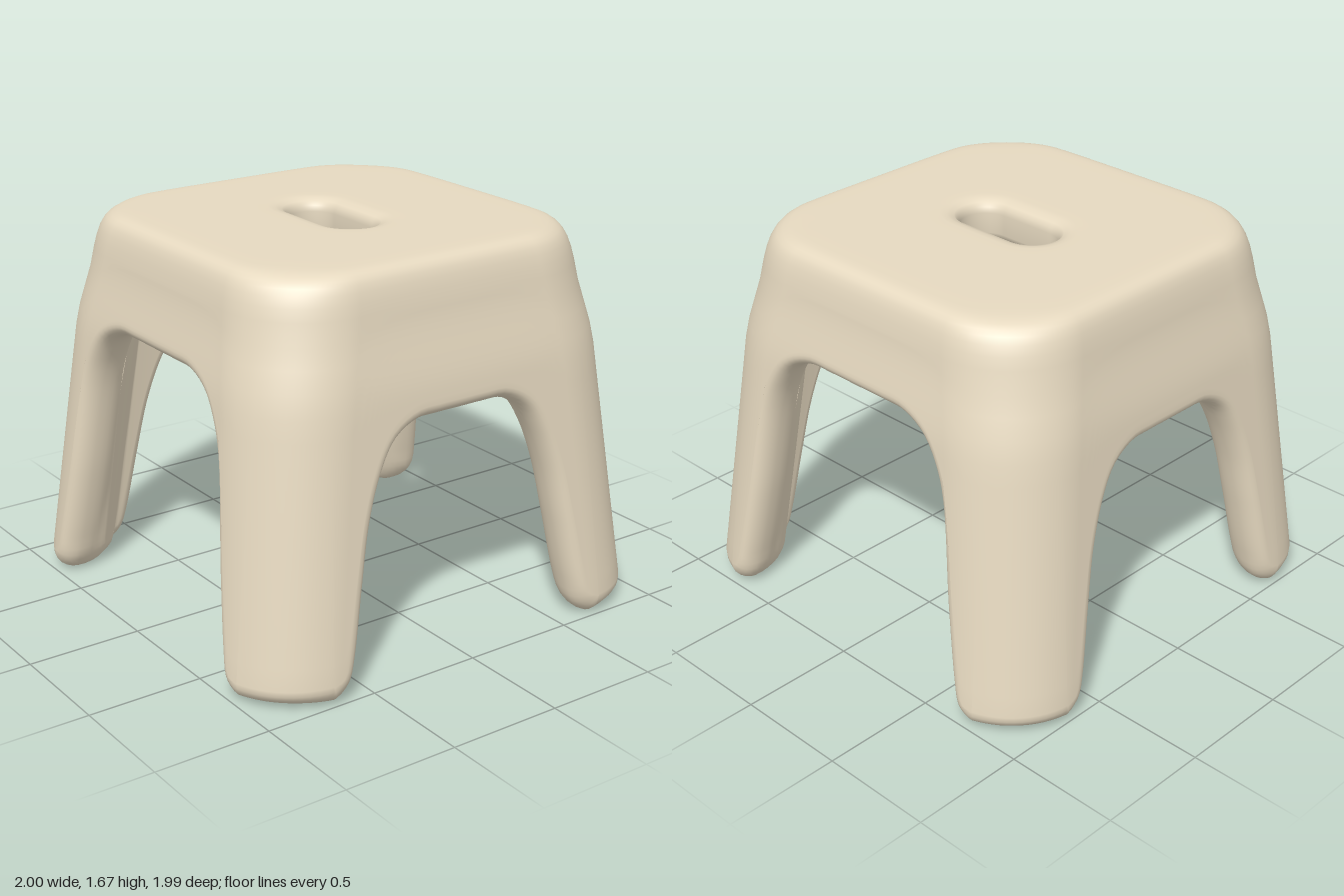
import * as THREE from 'three';

const COLS = 112;       // columns per quarter of the stool
const THICK = 0.19;     // wall thickness
const SPAN = 1.75;      // nominal unrolled length of a quarter wall

const { lerp, smoothstep } = THREE.MathUtils;

// Tapered rounded-square plan at height y
function plan(y) {
  const half = 1.012 - 0.1 * y - 0.03 * smoothstep(y, 1.15, 1.5), r = 0.34 + 0.025 * y;
  const flat = half - r, arc = Math.PI * r / 2;
  return { half, r, flat, arc, length: 2 * flat + arc };
}

// Bell curve that peaks at the corner of a quarter
const cornerBell = (f, width) => Math.exp(-(((f - 0.5) / width) ** 2));

// Quarter wall: f runs 0..1 from front centre round the corner to side centre, d is depth inwards.
// With flatten = 1 the corner turns from an arc outside to a diagonal face inside.
function wall(f, y, d, flatten) {
  const { half, r, flat, arc, length } = plan(y);
  const s = f * length;
  const depth = d * (1 + 0.2 * flatten * cornerBell(f, 0.15));
  if (s < flat) return [s, y, half - depth];
  if (s > flat + arc) return [half - depth, y, length - s];
  const a = (s - flat) / r, sin = Math.sin(a), cos = Math.cos(a);
  const radius = (r - depth) / (1 + flatten * d / THICK * (sin + cos - 1));
  return [flat + radius * sin, y, flat + radius * cos];
}

// Quarter of the slotted grip hole, grown by g
function slot(f, y, g) {
  const flat = 0.135, r = 0.11, s = f * (flat + r * Math.PI / 2);
  if (s < flat) return [s, y, r + g];
  const a = (s - flat) / r;
  return [flat + (r + g) * Math.sin(a), y, (r + g) * Math.cos(a)];
}

// Lower outline of the unrolled quarter: front arch, leg, foot, leg, side arch
function lowerOutline() {
  const front = [[0, 1.21], [0.15, 1.21], [0.28, 1.205], [0.39, 1.155], [0.46, 1.06], [0.505, 0.94],
    [0.57, 0.5], [0.63, 0.17], [0.66, 0.055], [0.735, 0], [0.82, 0]];
  const side = [[0, 1.05], [0.12, 1.05], [0.22, 1.045], [0.32, 0.99], [0.39, 0.88], [0.455, 0.7],
    [0.505, 0.46], [0.56, 0.17], [0.595, 0.055], [0.67, 0], [0.78, 0]];
  const pts = front.map(([x, y]) => new THREE.Vector3(x / plan(y).length * SPAN, y, 0));
  side.reverse().forEach(([z, y]) => pts.push(new THREE.Vector3((1 - z / plan(y).length) * SPAN, y, 0)));
  const curve = new THREE.CatmullRomCurve3(pts);
  curve.arcLengthDivisions = 800;
  return curve;
}

// One closed section: down the outer wall, round the rim, up inside, under the seat, through the hole, over the top
function section(curve, t) {
  const b = curve.getPointAt(t), tan = curve.getTangentAt(t);
  if (t === 0 || t === 1) { tan.set(1, 0, 0); b.x = t * SPAN; }
  b.y = Math.max(b.y, 0);
  const nx = -tan.y, ny = tan.x;
  const rim = lerp(0.09, 0.055, smoothstep(b.y, 0, 0.15));
  const topW = lerp(t * SPAN, b.x, 0.6), topF = topW / SPAN;
  const baseW = b.x + nx * rim, baseY = b.y + ny * rim;
  const ring = [];

  // outer wall
  for (let i = 0; i < 16; i++) {
    const k = i / 16;
    ring.push(wall(lerp(topW, baseW, k) / SPAN, lerp(1.5, baseY, k), 0, 1));
  }
  // rounded rim
  for (let i = 0; i <= 12; i++) {
    const a = Math.PI * i / 12, inset = rim * (1 - Math.sin(a));
    const depth = 0.08 - (i < 6 ? 0.08 : THICK - 0.08) * Math.cos(a);
    ring.push(wall((b.x + nx * inset) / SPAN, b.y + ny * inset, depth, 1));
  }
  // inner wall
  for (let i = 1; i <= 14; i++) {
    const k = i / 14;
    ring.push(wall(lerp(baseW, topW, k) / SPAN, lerp(baseY, 1.34, k), THICK, 1));
  }
  // underside of the seat
  const inner = wall(topF, 1.34, THICK, 1), under = slot(topF, 1.48, 0.04);
  [[0.015, 1.385], [0.05, 1.425], [0.11, 1.455], [0.2, 1.472], [0.35, 1.48], [0.55, 1.48], [0.8, 1.48], [1, 1.48]]
    .forEach(([k, y]) => ring.push([lerp(inner[0], under[0], k), y, lerp(inner[2], under[2], k)]));
  // grip hole
  [[0.012, 1.49], [0, 1.52], [0, 1.61], [0.006, 1.635], [0.02, 1.652], [0.05, 1.662]].forEach(
    ([g, y]) => ring.push(slot(topF, y, g)));
  // seat top, its edge more rounded towards the corner
  const soften = 1 + 0.6 * cornerBell(topF, 0.16);
  const lip = slot(topF, 1.666, 0.08), edge = wall(topF, 1.664, 0.11 * soften, 0);
  for (let i = 0; i <= 8; i++) {
    const k = i / 8;
    ring.push([lerp(lip[0], edge[0], k), lerp(lip[1], edge[1], k), lerp(lip[2], edge[2], k)]);
  }
  // rounded seat edge
  [[0.08, 1.662], [0.058, 1.658], [0.042, 1.65], [0.028, 1.637], [0.018, 1.618], [0.01, 1.59], [0.004, 1.55]].forEach(
    ([d, y]) => ring.push(wall(topF, y, d * soften, 0)));
  return ring;
}

function shellGeometry() {
  const curve = lowerOutline();
  const quarter = Array.from({ length: COLS + 1 }, (_, k) => section(curve, k / COLS));
  const position = [], index = [];
  // mirror the quarter round the four corners
  [[1, 1], [1, -1], [-1, -1], [-1, 1]].forEach(([sx, sz]) => {
    for (let k = 0; k < COLS; k++) {
      const ring = quarter[sx * sz > 0 ? k : COLS - k];
      ring.forEach(([x, y, z]) => position.push(x * sx, y, z * sz));
    }
  });
  const rows = quarter[0].length, total = COLS * 4;
  for (let j = 0; j < total; j++) {
    for (let i = 0; i < rows; i++) {
      const n = (j + 1) % total, m = (i + 1) % rows;
      const a = j * rows + i, b = n * rows + i, c = j * rows + m, d = n * rows + m;
      index.push(a, c, b, b, c, d);
    }
  }
  const geometry = new THREE.BufferGeometry();
  geometry.setAttribute('position', new THREE.Float32BufferAttribute(position, 3));
  geometry.setIndex(index);
  geometry.computeVertexNormals();
  return geometry;
}

export function createModel() {
  const group = new THREE.Group();
  group.name = 'stool';
  const beige = new THREE.MeshStandardMaterial({ color: 0xe6d9c0 });
  beige.name = 'beige plastic';
  const shell = new THREE.Mesh(shellGeometry(), beige);
  shell.name = 'seatAndLegs';
  group.add(shell);
  return group;
}
